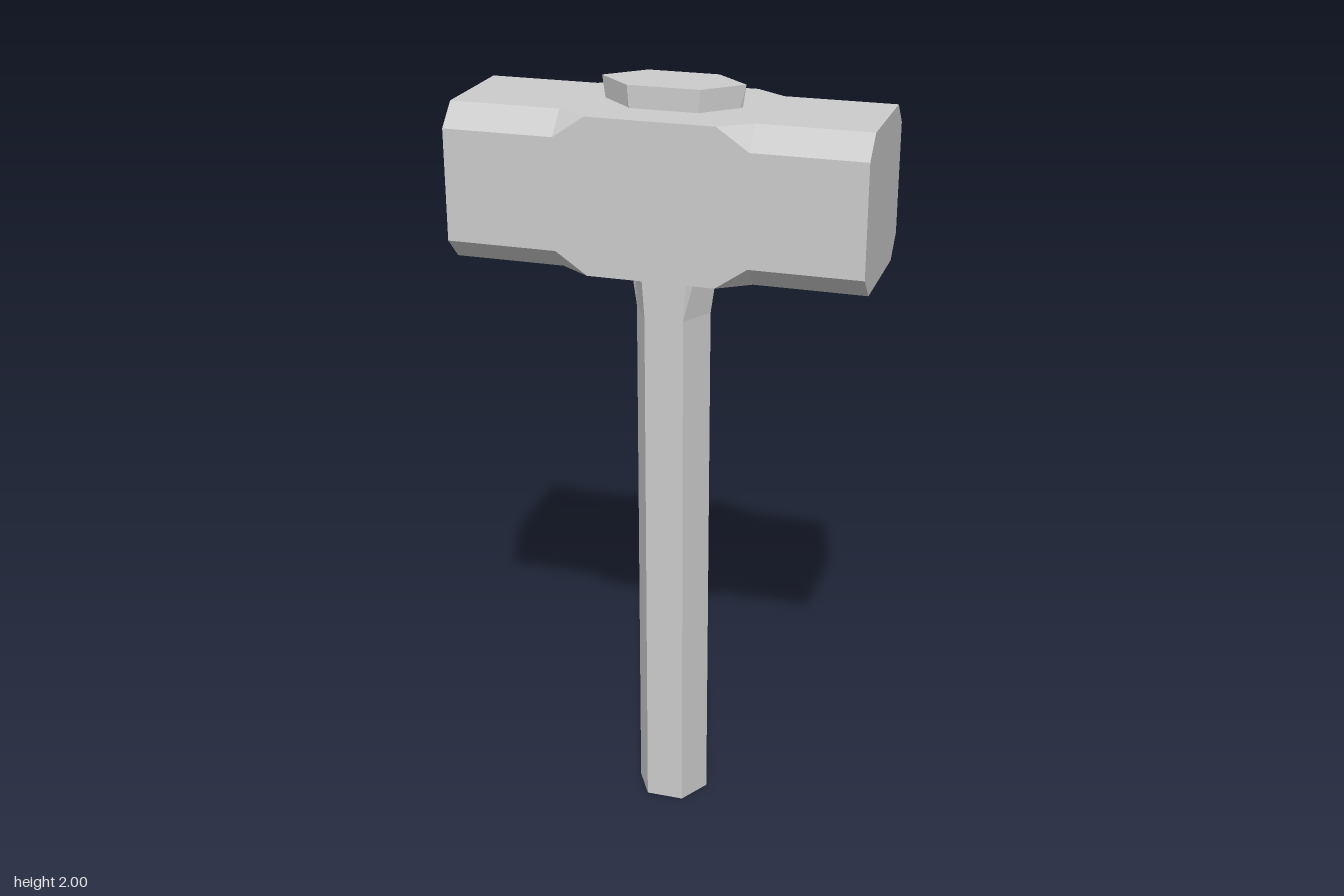
import * as THREE from 'three';

// Skin matching rings (counter-clockwise seen from the end they run towards) and cap both ends
function loft(rings) {
  const pos = [];
  const tri = (a, b, c) => {
    const area = b.clone().sub(a).cross(c.clone().sub(a)).length();
    if (area > 1e-7) for (const p of [a, b, c]) pos.push(p.x, p.y, p.z);
  };
  const n = rings[0].length;
  for (let i = 0; i < rings.length - 1; i++) {
    for (let j = 0; j < n; j++) {
      const k = (j + 1) % n;
      tri(rings[i][j], rings[i][k], rings[i + 1][k]);
      tri(rings[i][j], rings[i + 1][k], rings[i + 1][j]);
    }
  }
  const first = rings[0], last = rings[rings.length - 1];
  for (let j = 1; j < n - 1; j++) {
    tri(first[0], first[j + 1], first[j]);
    tri(last[0], last[j], last[j + 1]);
  }
  const geometry = new THREE.BufferGeometry();
  geometry.setAttribute('position', new THREE.Float32BufferAttribute(pos, 3));
  geometry.computeVertexNormals();
  return geometry;
}

// Hexagonal handle section: points on the x axis, flat faces to front and back
function hexRing(y, tip, flat, z = 0.084) {
  return [[tip, 0], [flat, -z], [-flat, -z], [-tip, 0], [-flat, z], [flat, z]]
    .map(([x, pz]) => new THREE.Vector3(x, y, pz));
}

// Head section: square with its corners cut by c
function headRing(x, c) {
  const h = 0.195, w = 0.193, midY = 1.75;
  return [[h, -w + c], [h, w - c], [h - c, w], [-h + c, w], [-h, w - c], [-h, -w + c], [-h + c, -w], [h - c, -w]]
    .map(([y, z]) => new THREE.Vector3(x, midY + y, z));
}

export function createModel() {
  const group = new THREE.Group();
  const material = new THREE.MeshStandardMaterial({ color: 0xcccccc, flatShading: true });
  const add = (name, geometry) => {
    const mesh = new THREE.Mesh(geometry, material);
    mesh.name = name;
    group.add(mesh);
  };

  // Straight shaft that flares through the head and shows above it
  add('handle', loft([
    hexRing(0, 0.097, 0.05),
    hexRing(1.42, 0.097, 0.05),
    hexRing(2, 0.18, 0.09),
  ]));

  // Block head: chamfered striking ends, full square middle
  const cut = 0.055;
  add('hammerHead', loft([
    headRing(-0.52, cut),
    headRing(-0.24, cut),
    headRing(-0.16, 0),
    headRing(0.16, 0),
    headRing(0.24, cut),
    headRing(0.52, cut),
  ]));

  return group;
}
